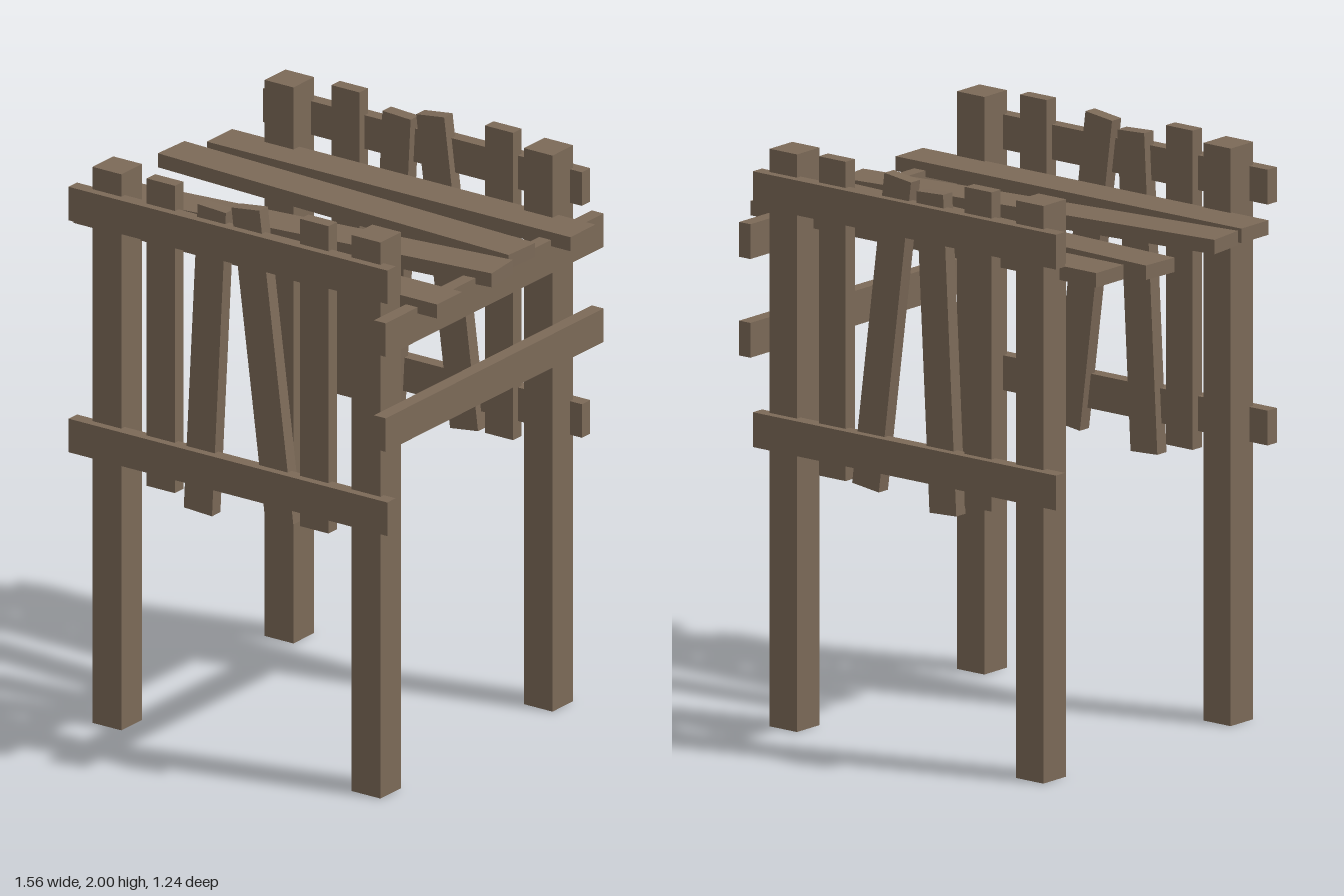
import * as THREE from 'three';

export function createModel() {
  const model = new THREE.Group();
  model.name = 'plankShelter';
  const wood = new THREE.MeshStandardMaterial({ color: 0x7c6a58 });
  wood.name = 'weathered wood';

  // One board: size, centre, and optional tilt
  function board(name, size, pos, rotY = 0, rotZ = 0) {
    const mesh = new THREE.Mesh(new THREE.BoxGeometry(...size), wood);
    mesh.name = name;
    mesh.position.set(...pos);
    mesh.rotation.set(0, rotY, rotZ);
    model.add(mesh);
  }

  for (const side of [1, -1]) {
    const end = side > 0 ? 'front' : 'back';

    // Corner posts
    for (const x of [-0.497, 0.568]) {
      board(end + 'Post', [0.118, 1.99, 0.118], [x, 0.995, side * 0.49]);
    }

    // Long horizontal rails
    for (const y of [1.02, 1.85]) {
      board(end + 'Rail', [1.31, 0.12, 0.048], [0.021, y, side * 0.554]);
    }

    // Upright slats: x, y, tilt
    const slats = [
      [-0.275, 1.45, 0],
      [-0.094, 1.404, -0.052],
      [0.1425, 1.4375, 0.127],
      [0.356, 1.45, 0],
    ];
    for (const [x, y, tilt] of slats) {
      board(end + 'Slat', [0.116, 1.1, 0.048], [x, y, side * 0.526], 0, tilt);
    }
  }

  // Rails across the left side
  for (const y of [1.34, 1.68]) {
    board('sideRail', [0.048, 0.12, 1.24], [0.676, y, 0]);
  }

  // Loose roof planks: x, z, turn
  const planks = [
    [0.033, -0.392, 0],
    [-0.035, -0.175, -0.047],
    [0.011, 0.113, 0.111],
    [0.033, 0.367, 0],
  ];
  for (const [x, z, turn] of planks) {
    board('roofPlank', [1.494, 0.05, 0.143], [x, 1.743, z], turn);
  }

  return model;
}
